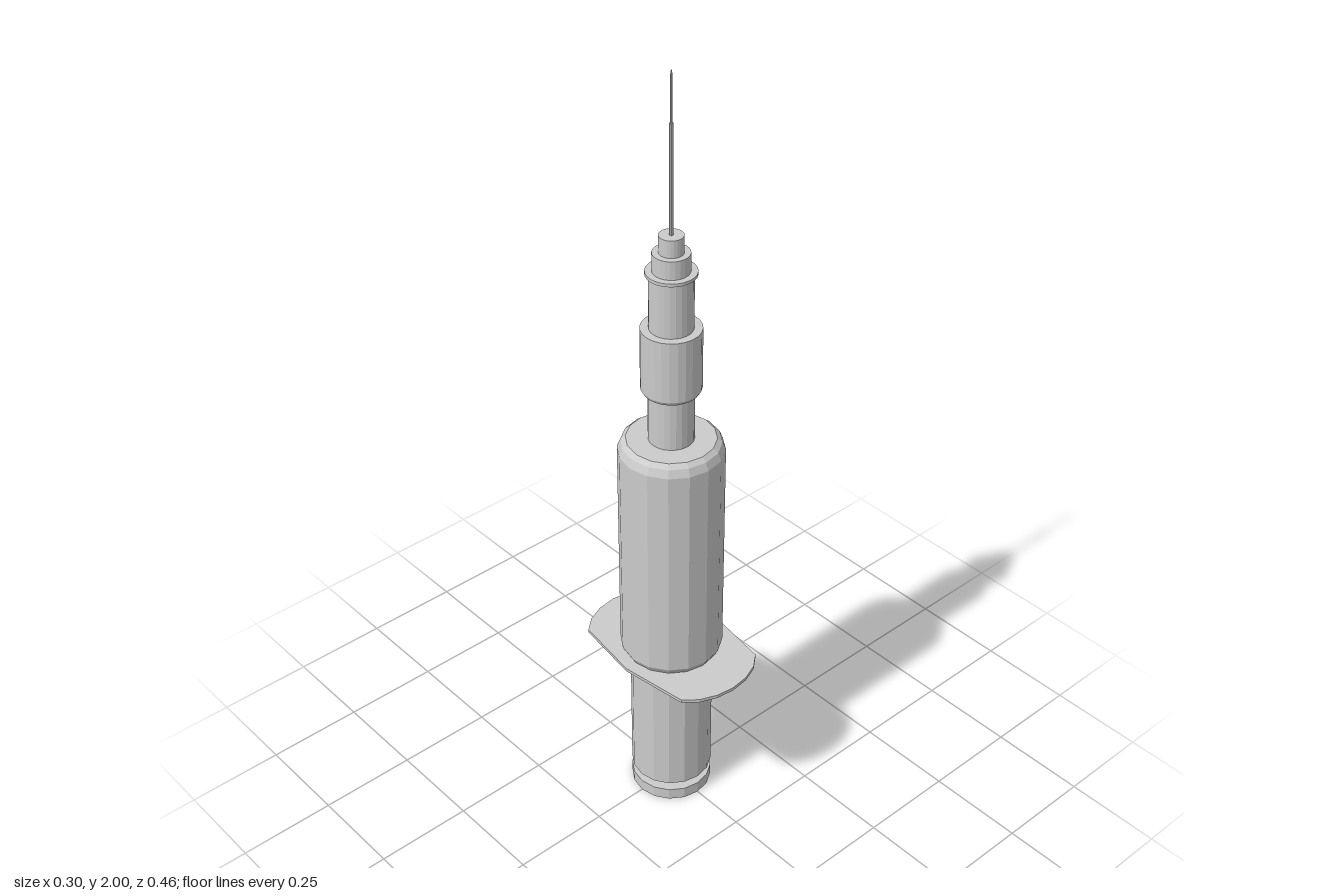
import * as THREE from 'three';

const material = new THREE.MeshStandardMaterial({ color: 0xcccccc, flatShading: true });

// Turned part from [radius, height] pairs, bottom to top, capped on the axis
function turned(name, profile, sides) {
  const points = profile.map(([r, y]) => new THREE.Vector2(r, y));
  points.unshift(new THREE.Vector2(0, profile[0][1]));
  points.push(new THREE.Vector2(0, profile[profile.length - 1][1]));
  const mesh = new THREE.Mesh(new THREE.LatheGeometry(points, sides), material);
  mesh.name = name;
  return mesh;
}

export function createModel() {
  const model = new THREE.Group();
  model.name = 'syringe';

  // Plunger with a grooved thumb disc at its foot
  model.add(turned('plunger', [
    [0.103, 0], [0.103, 0.032], [0.077, 0.032], [0.077, 0.056], [0.103, 0.056], [0.103, 0.46],
  ], 16));

  // Thin finger flange: rounded ends, slightly pointed sides
  const end = [[0.125, 0.176], [0.092, 0.204], [0.048, 0.222], [0, 0.228]];
  const half = [[0.15, 0], ...end, ...end.slice(0, 3).reverse().map(([x, z]) => [-x, z])];
  const outline = [...half, ...half.map(([x, z]) => [-x, -z])];
  const shape = new THREE.Shape(outline.map(([x, z]) => new THREE.Vector2(x, z)));
  const plate = new THREE.ExtrudeGeometry(shape, { depth: 0.009, bevelEnabled: false });
  plate.rotateX(-Math.PI / 2);
  const flange = new THREE.Mesh(plate, material);
  flange.name = 'fingerFlange';
  flange.position.y = 0.441;
  model.add(flange);

  // Main barrel with chamfered rims
  model.add(turned('barrel', [
    [0.117, 0.448], [0.128, 0.468], [0.128, 1.05], [0.12, 1.07], [0.108, 1.08],
  ], 16));

  // Neck and the thicker collar around it
  model.add(turned('neck', [[0.055, 1.07], [0.055, 1.23]], 24));
  model.add(turned('collar', [[0.067, 1.213], [0.072, 1.222], [0.072, 1.38]], 24));

  // Needle hub: sleeve, lip and two steps
  model.add(turned('needleHub', [
    [0.052, 1.37], [0.052, 1.518], [0.06, 1.518], [0.06, 1.526],
    [0.044, 1.526], [0.044, 1.572], [0.029, 1.572], [0.029, 1.615],
  ], 24));

  // Needle, thinner toward the tip
  model.add(turned('needle', [
    [0.005, 1.6], [0.005, 1.88], [0.0025, 1.88], [0.0025, 1.99], [0.001, 2],
  ], 10));

  return model;
}
